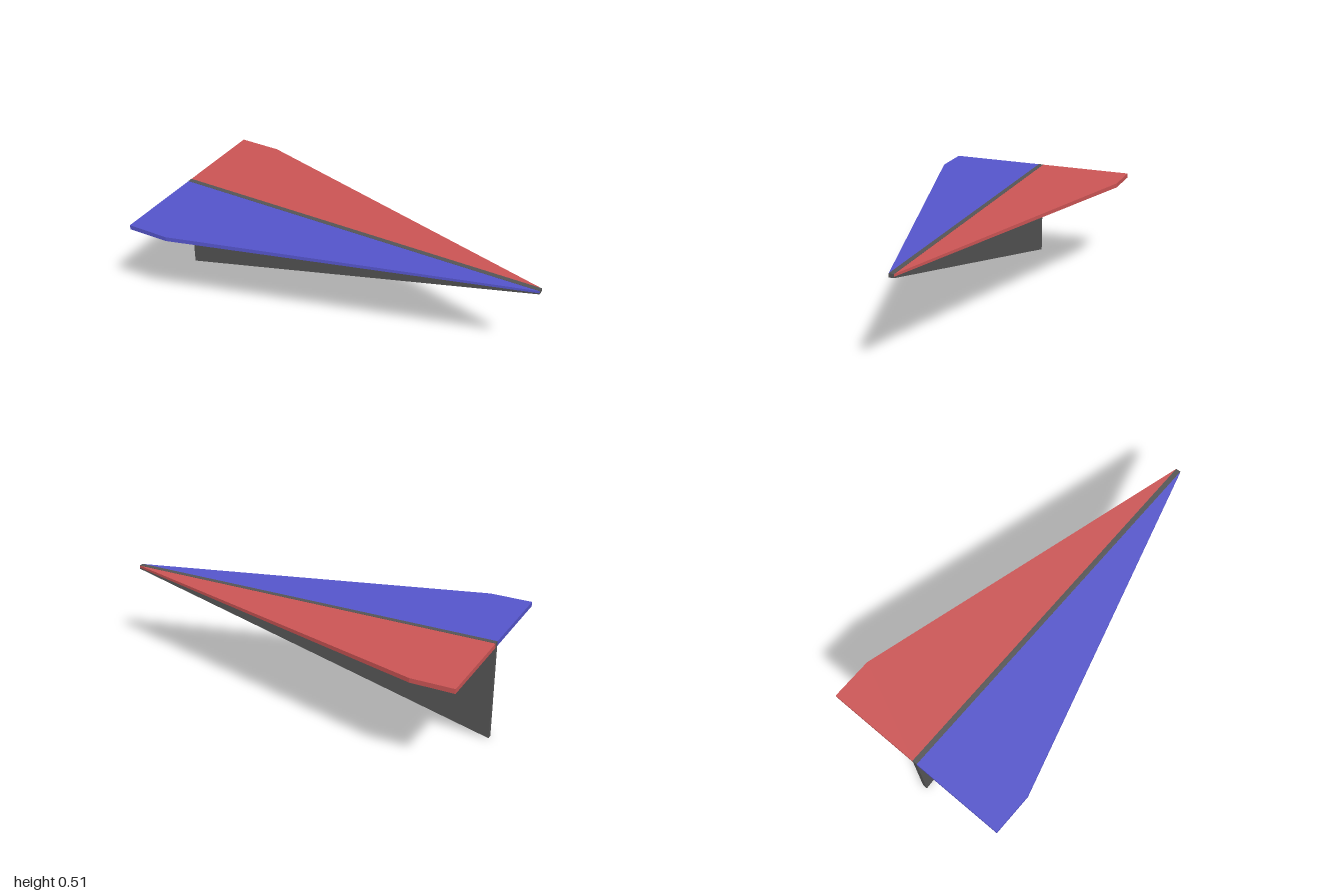
import * as THREE from 'three';

const HALF = 0.013; // half thickness of the keel
const SPAN = 0.51;

function prism(points, depth) {
  const shape = new THREE.Shape(points.map(([x, y]) => new THREE.Vector2(x, y)));
  return new THREE.ExtrudeGeometry(shape, { depth, bevelEnabled: false });
}

function part(name, geometry, color) {
  const material = new THREE.MeshStandardMaterial({ color, flatShading: true });
  const mesh = new THREE.Mesh(geometry, material);
  mesh.name = name;
  return mesh;
}

// Wing outline laid flat, thinning towards the nose; tipRise tilts the outer edge
function wing(name, side, color, tipRise) {
  const geometry = prism([
    [-1, side * HALF], [-1, side * SPAN], [-0.78, side * SPAN], [1, side * HALF],
  ], 1).rotateX(Math.PI / 2);
  const p = geometry.attributes.position;
  for (let i = 0; i < p.count; i++) {
    const isTop = p.getY(i) > -0.5;
    const noseward = (p.getX(i) + 1) / 2;
    const tilt = tipRise * Math.abs(p.getZ(i)) / SPAN;
    p.setY(i, tilt + (isTop ? 0.511 : 0.487 + 0.012 * noseward));
  }
  geometry.computeVertexNormals();
  return part(name, geometry, color);
}

export function createModel() {
  const model = new THREE.Group();
  model.name = 'paperPlane';

  // Vertical triangular keel, blunt at the nose
  const keel = prism([[-1, 0], [1, 0.493], [1, 0.512], [-1, 0.512]], 2 * HALF);
  keel.translate(0, 0, -HALF);
  model.add(part('keel', keel, 0x555555));

  // One wing on each side of the keel
  model.add(wing('frontWing', 1, 0x5555cc, 0.003));
  model.add(wing('backWing', -1, 0xcc5555, -0.003));
  return model;
}
